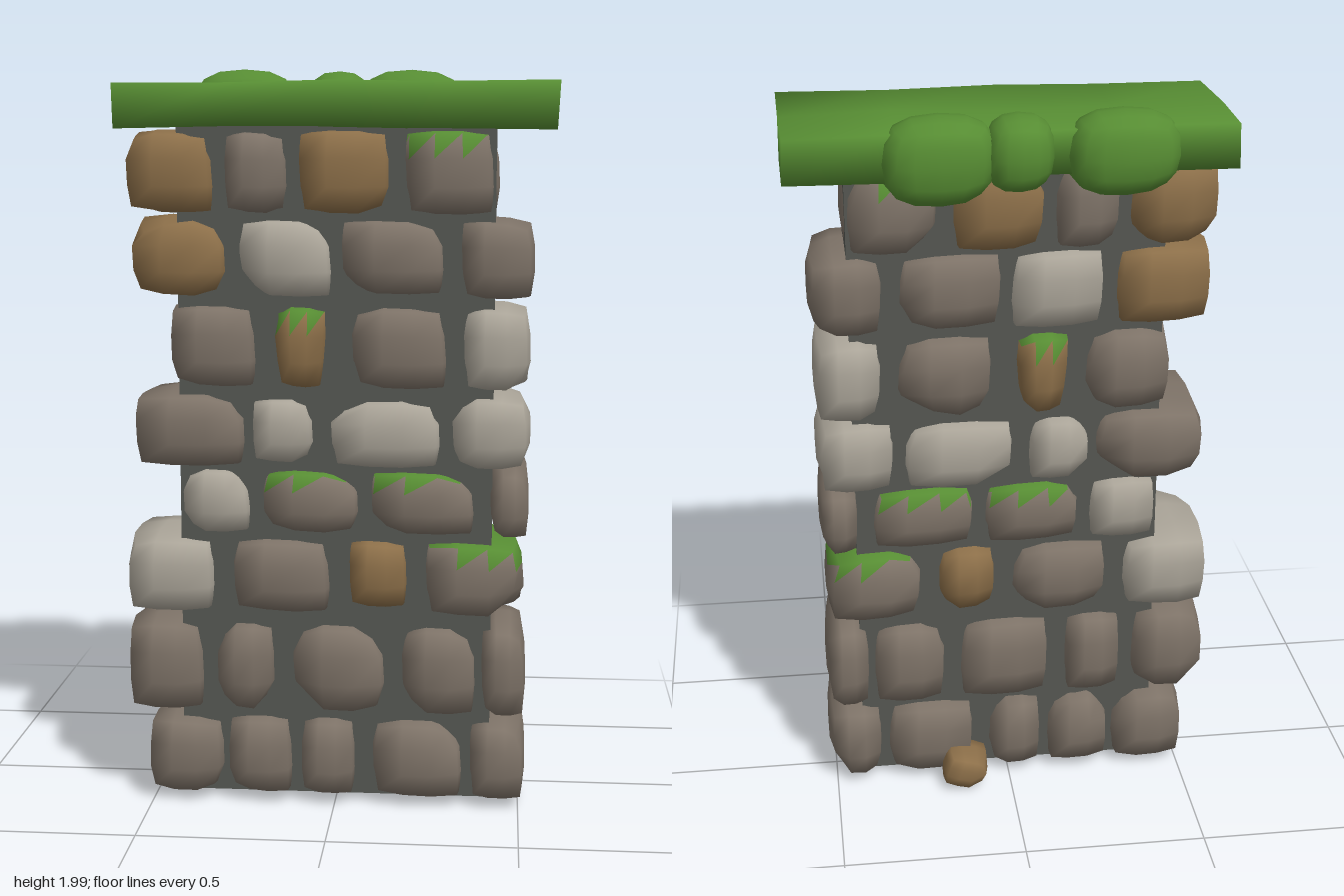
import * as THREE from 'three';
import { mergeVertices } from 'three/addons/utils/BufferGeometryUtils.js';

const flat = (name, color) => Object.assign(new THREE.MeshStandardMaterial({ color }), { name });

// Small seeded random generator
function seeded(seed) {
  let s = (seed * 7919 + 17) % 2147483647;
  const next = () => (s = (s * 16807) % 2147483647) / 2147483647;
  for (let i = 0; i < 5; i++) next();
  return next;
}

// Box with shared vertices, so its normals run smoothly over the edges
function weldedBox(w, h, d, sx, sy, sz) {
  const g = new THREE.BoxGeometry(w, h, d, sx, sy, sz);
  g.deleteAttribute('normal');
  g.deleteAttribute('uv');
  g.clearGroups();
  return mergeVertices(g, 1e-4);
}

// Rounded block: a cube pulled towards a superellipsoid, chipped by random planes and skewed
function lump(w, h, d, seed, { power = 7, segments = 3, taper = 0, bulge = 0.05 } = {}) {
  const rnd = seeded(seed);
  const g = weldedBox(2, 2, 2, segments, segments, segments);
  const pos = g.attributes.position;
  const v = new THREE.Vector3();
  const planes = [];
  for (let i = 0; i < 4; i++) {
    const n = new THREE.Vector3(i & 1 ? 1 : -1, i & 2 ? 1 : -1, (rnd() - 0.5) * 1.2);
    n.x *= 0.55 + rnd() * 0.6;
    n.y *= 0.55 + rnd() * 0.6;
    planes.push({ n: n.normalize(), d: 1.08 + rnd() * 0.24 });
  }
  const skew = [rnd(), rnd(), rnd(), rnd()].map((r) => r * 0.13);
  for (let i = 0; i < pos.count; i++) {
    v.fromBufferAttribute(pos, i);
    const len = (Math.abs(v.x) ** power + Math.abs(v.y) ** power + Math.abs(v.z) ** power) ** (1 / power);
    v.divideScalar(len);
    for (const { n, d: limit } of planes) {
      const over = v.dot(n) - limit;
      if (over > 0) v.addScaledVector(n, -over);
    }
    const { x, y, z } = v;
    v.x *= (1 - taper * (1 - y) / 2) * (1 - bulge * z * z) * (1 - skew[x > 0 ? 0 : 1] * (1 + (x > 0 ? y : -y)) / 2);
    v.y *= 1 - skew[y > 0 ? 2 : 3] * (1 + (y > 0 ? x : -x)) / 2;
    v.z *= 0.96 + rnd() * 0.04;
    pos.setXYZ(i, v.x * w / 2, v.y * h / 2, v.z * d / 2);
  }
  g.computeVertexNormals();
  return g;
}

// Sorts the faces into bare stone (group 0) and mossy top (group 1)
function mossTop(g, w, h, tilt) {
  const pos = g.attributes.position;
  const idx = g.index.array;
  const bare = [], moss = [];
  for (let i = 0; i < idx.length; i += 3) {
    const tri = [idx[i], idx[i + 1], idx[i + 2]];
    const y = tri.reduce((s, k) => s + pos.getY(k), 0) / 3;
    const x = tri.reduce((s, k) => s + pos.getX(k), 0) / 3;
    (y / h + tilt * x / w > 0.3 ? moss : bare).push(...tri);
  }
  g.setIndex([...bare, ...moss]);
  g.addGroup(0, bare.length, 0);
  g.addGroup(bare.length, moss.length, 1);
}

export function createModel() {
  const root = new THREE.Group();
  root.name = 'stoneWall';

  const mats = {
    g: flat('greyStone', 0x7d7267),
    w: flat('paleStone', 0xaaa498),
    b: flat('brownStone', 0x8c6f49),
    mortar: flat('mortar', 0x555752),
    moss: flat('moss', 0x578d33),
  };
  const add = (name, geometry, material, x, y, z, parent = root) => {
    const m = new THREE.Mesh(geometry, material);
    m.name = name;
    m.position.set(x, y, z);
    parent.add(m);
    return m;
  };

  // Mortar core
  add('mortarCore', new THREE.BoxGeometry(0.84, 1.83, 0.25), mats.mortar, 0, 0.945, 0.06);

  // Courses of stones running through the wall: [x0, x1, colour, options]
  const courses = [
    { y: [0.03, 0.25], stones: [[-0.52, -0.30, 'g'], [-0.30, -0.11, 'g'], [-0.10, 0.06, 'g'], [0.09, 0.36, 'g'], [0.36, 0.52, 'g']] },
    { y: [0.26, 0.515], stones: [[-0.575, -0.35, 'g'], [-0.33, -0.16, 'g'], [-0.13, 0.15, 'g'], [0.17, 0.39, 'g'], [0.39, 0.52, 'g']] },
    { y: [0.54, 0.75], stones: [[-0.575, -0.32, 'w'], [-0.29, 0, 'g'], [0.03, 0.20, 'b', { y: [0.56, 0.75] }], [0.23, 0.515, 'g', { moss: 0.2 }]] },
    { y: [0.76, 0.94], stones: [[-0.42, -0.22, 'w'], [-0.21, 0.075, 'g', { moss: 0.02 }], [0.08, 0.39, 'g', { moss: -0.02 }], [0.41, 0.52, 'g']] },
    { y: [0.94, 1.14], stones: [[-0.555, -0.23, 'g'], [-0.23, -0.05, 'w', { y: [0.95, 1.13] }], [-0.03, 0.295, 'w', { y: [0.94, 1.13] }], [0.30, 0.52, 'w']] },
    { y: [1.15, 1.38], stones: [[-0.45, -0.20, 'g'], [-0.175, -0.01, 'b', { moss: -0.1, taper: 0.28 }], [0.03, 0.31, 'g'], [0.33, 0.52, 'w']] },
    { y: [1.39, 1.61], stones: [[-0.555, -0.28, 'b'], [-0.27, 0.005, 'w'], [0, 0.30, 'g', { y: [1.4, 1.61] }], [0.32, 0.525, 'g']] },
    { y: [1.61, 1.84], stones: [[-0.565, -0.31, 'b'], [-0.30, -0.12, 'g'], [-0.11, 0.15, 'b'], [0.16, 0.435, 'g', { moss: -0.12, bulge: 0.16 }]] },
  ];
  courses.forEach(({ y, stones }, row) => {
    const course = new THREE.Group();
    course.name = `stoneCourse${row + 1}`;
    root.add(course);
    stones.forEach(([x0, x1, colour, options = {}], col) => {
      const seed = row * 10 + col + 1;
      const [y0, y1] = options.y ?? y;
      const w = x1 - x0, h = y1 - y0;
      const d = 0.36 + 0.035 * seeded(seed + 300)();
      const g = lump(w, h, d, seed, options);
      const mossy = options.moss !== undefined;
      if (mossy) mossTop(g, w, h, options.moss);
      add(`stone${col + 1}`, g, mossy ? [mats[colour], mats.moss] : mats[colour],
        (x0 + x1) / 2, (y0 + y1) / 2, 0.06, course);
    });
  });

  // Loose stone at the foot of the back
  add('looseStone', lump(0.125, 0.095, 0.14, 91), mats.b, 0.13, 0.064, -0.13).rotation.z = 0.3;

  // Moss slab on top, slightly uneven along its edges
  const cap = weldedBox(1.15, 0.115, 0.46, 4, 1, 2);
  const capPos = cap.attributes.position;
  const rnd = seeded(77);
  for (let i = 0; i < capPos.count; i++) {
    capPos.setXYZ(i, capPos.getX(i) + (rnd() - 0.5) * 0.012, capPos.getY(i) + (rnd() - 0.5) * 0.012,
      capPos.getZ(i) + (rnd() - 0.5) * 0.012);
  }
  cap.computeVertexNormals();
  add('mossCap', cap, mats.moss, 0, 1.9, 0.035);

  // Moss clumps hanging over the back edge: [x0, x1, y0, y1]
  [[-0.435, -0.135, 1.78, 2.0], [-0.11, 0.075, 1.80, 1.995], [0.03, 0.335, 1.77, 2.0]].forEach(([x0, x1, y0, y1], i) => {
    add(`mossClump${i + 1}`, lump(x1 - x0, y1 - y0, 0.21, 120 + i, { power: 2.6, segments: 4 }),
      mats.moss, (x0 + x1) / 2, (y0 + y1) / 2, -0.17);
  });

  return root;
}
